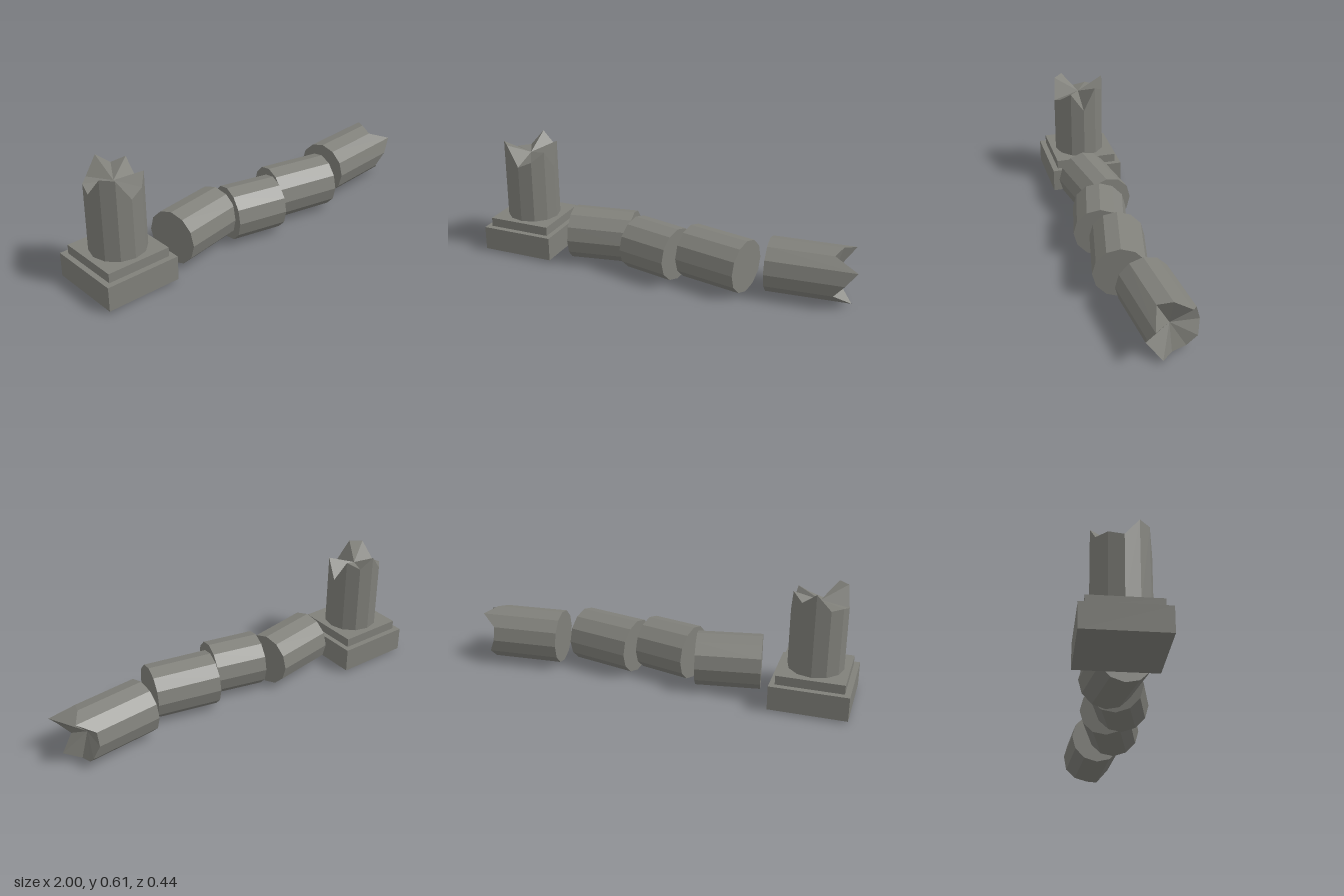
import * as THREE from 'three';

const SIDES = 12;
const RADIUS = 0.139;

export function createModel() {
  const stone = new THREE.MeshStandardMaterial({ color: 0x80807a, flatShading: true });
  stone.name = 'weatheredStone';
  const model = new THREE.Group();
  model.name = 'ruinedColumn';

  const add = (name, geometry, x, y, z) => {
    const mesh = new THREE.Mesh(geometry, stone);
    mesh.name = name;
    mesh.position.set(x, y, z);
    model.add(mesh);
    return mesh;
  };

  // Shaft standing on y = 0 whose top rim is broken to the given heights
  const brokenShaft = (rim, centre) => {
    const g = new THREE.CylinderGeometry(RADIUS - 0.001, RADIUS, 1, SIDES).translate(0, 0.5, 0);
    const p = g.attributes.position;
    for (let i = 0; i < p.count; i++) {
      if (p.getY(i) < 0.5) continue;
      const x = p.getX(i), z = p.getZ(i);
      const k = Math.round(Math.atan2(x, z) / (Math.PI * 2 / SIDES));
      p.setY(i, Math.hypot(x, z) < 0.01 ? centre : rim[(k + SIDES) % SIDES]);
    }
    g.computeVertexNormals();
    return g;
  };

  // Lay a shaft along x, turned about the vertical
  const lay = (mesh, turn) => mesh.rotation.set(0, turn, -Math.PI / 2, 'YXZ');

  // Stepped plinth
  add('plinthBase', new THREE.BoxGeometry(0.39, 0.125, 0.395), -0.805, 0.0775, -0.022);
  add('plinthStep', new THREE.BoxGeometry(0.335, 0.05, 0.335), -0.805, 0.162, -0.022);

  // Standing stump
  const stumpRim = [0.303, 0.333, 0.38, 0.28, 0.403, 0.37, 0.425, 0.343, 0.343, 0.323, 0.413, 0.41];
  add('standingStump', brokenShaft(stumpRim, 0.346), -0.804, 0.187, -0.02);

  // Fallen drums: x, z, length, turn
  const drums = [
    [-0.366, 0, 0.328, 0.17],
    [-0.044, 0.053, 0.265, -0.23],
    [0.288, 0.044, 0.33, -0.215],
  ];
  drums.forEach(([x, z, length, turn], i) => {
    const g = new THREE.CylinderGeometry(RADIUS - 0.002, RADIUS, length, SIDES);
    lay(add('fallenDrum' + (i + 1), g, x, 0.143, z), turn);
  });

  // Fallen top piece with a broken end
  const tipRim = [0.394, 0.34, 0.424, 0.36, 0.36, 0.37, 0.341, 0.34, 0.416, 0.36, 0.33, 0.45];
  lay(add('fallenBrokenEnd', brokenShaft(tipRim, 0.32), 0.541, 0.143, -0.002), 0.08);

  return model;
}
